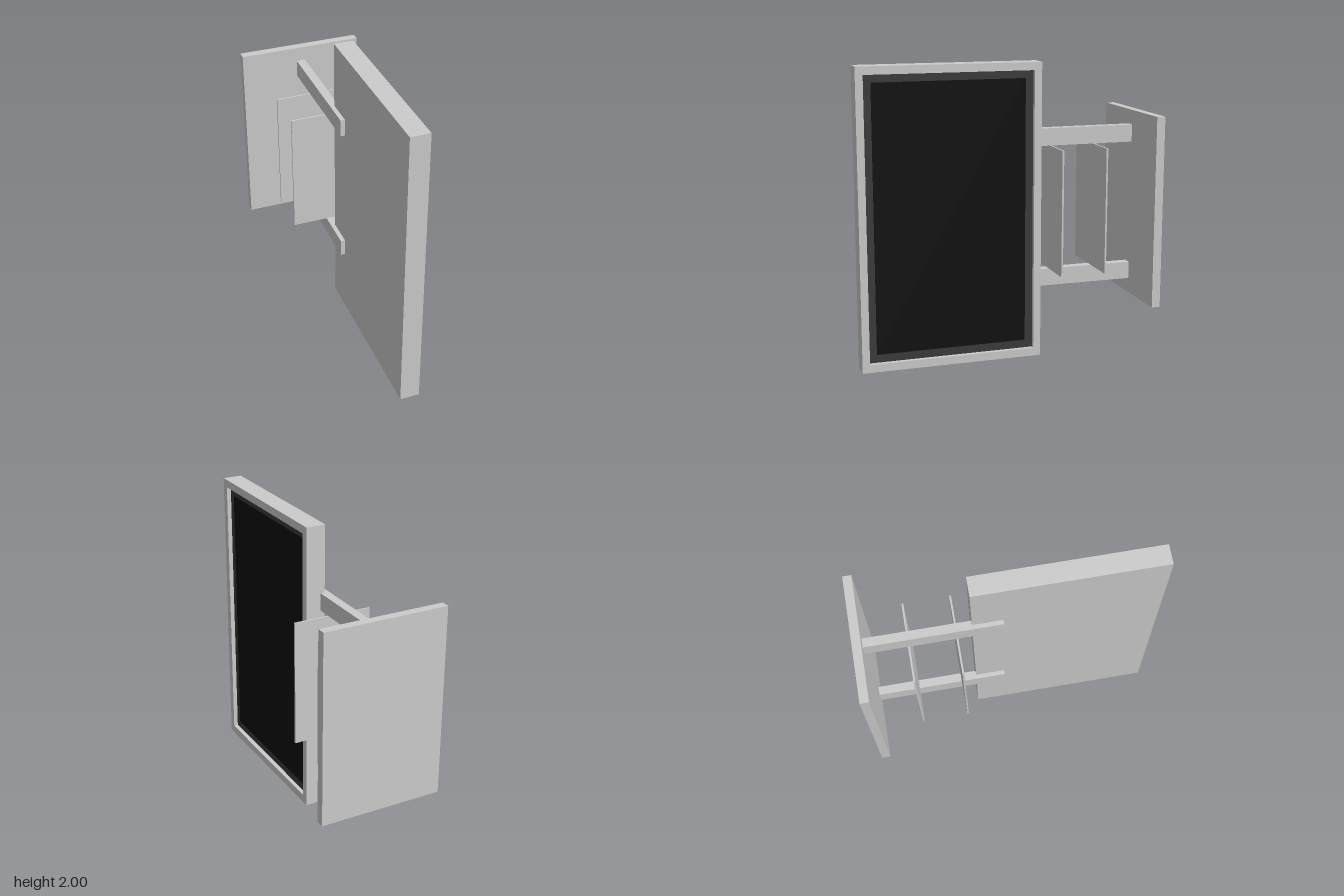
import * as THREE from 'three';

const mat = (color) => new THREE.MeshStandardMaterial({ color });

// Adds a box given by its min and max corners.
function addBox(parent, name, material, [x0, y0, z0], [x1, y1, z1]) {
  const mesh = new THREE.Mesh(new THREE.BoxGeometry(x1 - x0, y1 - y0, z1 - z0), material);
  mesh.position.set((x0 + x1) / 2, (y0 + y1) / 2, (z0 + z1) / 2);
  mesh.name = name;
  parent.add(mesh);
}

// Closed rectangle path.
function rect(path, x0, y0, x1, y1) {
  path.moveTo(x0, y0);
  path.lineTo(x1, y0);
  path.lineTo(x1, y1);
  path.lineTo(x0, y1);
  path.closePath();
  return path;
}

export function createModel() {
  const model = new THREE.Group();
  model.name = 'wallMountedDisplay';
  const grey = mat(0xcccccc);

  // Display: back body, raised rim, dark border and black screen facing +x
  const display = new THREE.Group();
  display.name = 'display';
  model.add(display);
  const recess = 0.1, thickness = 0.132;
  addBox(display, 'displayBody', grey, [0, 0, -0.24], [recess, 2, 0.99]);

  const rimShape = rect(new THREE.Shape(), -0.99, 0, 0.24, 2);
  rimShape.holes.push(rect(new THREE.Path(), -0.94, 0.055, 0.19, 1.947));
  const rim = new THREE.Mesh(
    new THREE.ExtrudeGeometry(rimShape, { depth: thickness - recess, bevelEnabled: false }), grey);
  rim.rotation.y = Math.PI / 2;
  rim.position.x = recess;
  rim.name = 'displayRim';
  display.add(rim);

  addBox(display, 'screenBorder', mat(0x3a3a3a), [0.09, 0.055, -0.19], [0.102, 1.947, 0.94]);
  addBox(display, 'screen', mat(0x0d0d0d), [0.09, 0.11, -0.137], [0.105, 1.895, 0.887]);

  // Wall plate
  addBox(model, 'wallPlate', grey, [-0.423, 0.358, -0.99], [0.423, 1.648, -0.932]);

  // Upper and lower arms running behind the display
  for (const [name, y] of [['lowerArm', 0.46], ['upperArm', 1.43]]) {
    addBox(model, name, grey, [-0.03, y, -0.932], [0.03, y + 0.118, -0.04]);
  }

  // Thin cross plates held between the arms
  for (const [name, z] of [['frontCrossPlate', -0.342], ['rearCrossPlate', -0.652]]) {
    addBox(model, name, grey, [-0.27, 0.578, z - 0.006], [0.27, 1.43, z + 0.006]);
  }

  return model;
}
